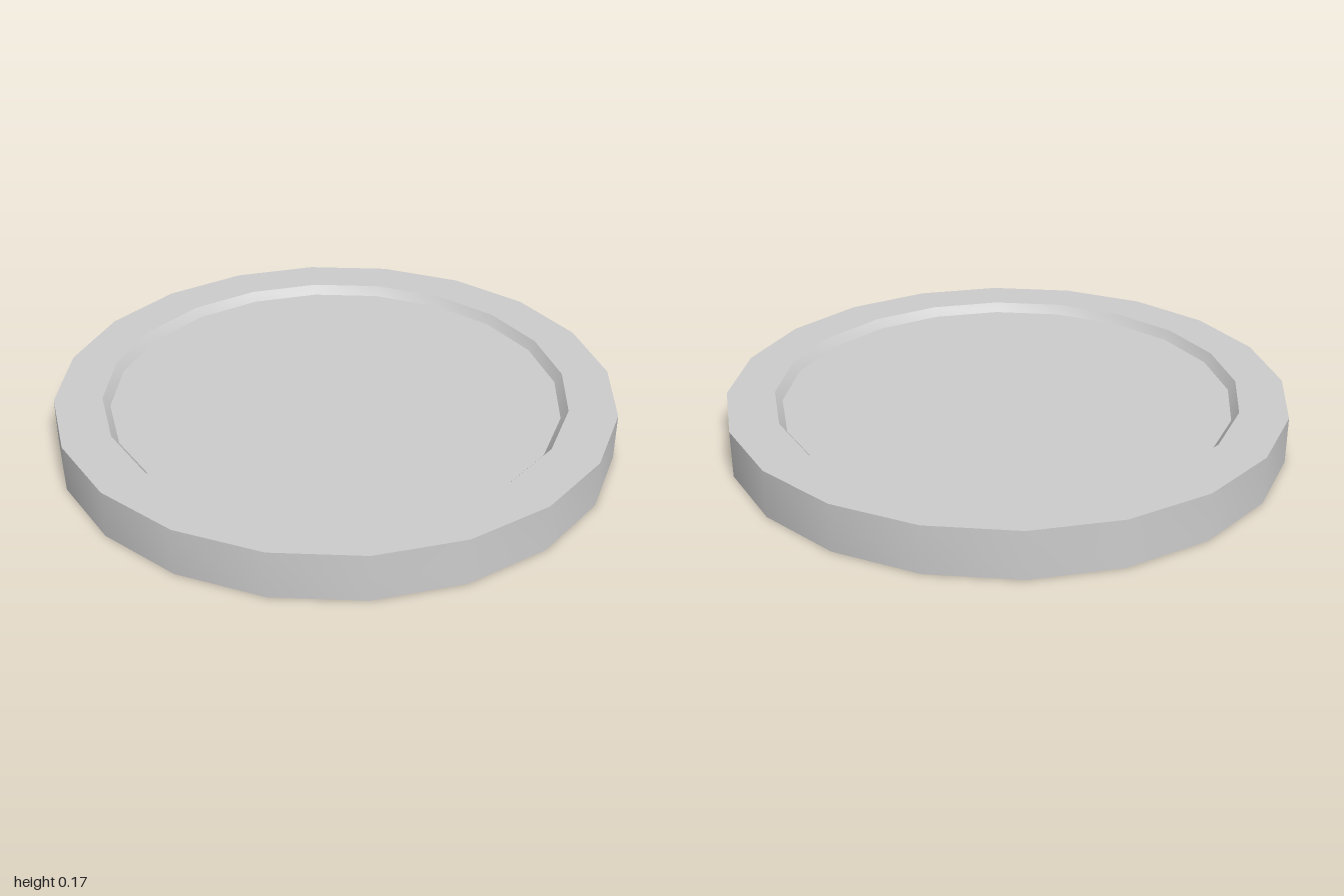
import * as THREE from 'three';
import { toCreasedNormals } from 'three/addons/utils/BufferGeometryUtils.js';

const SIDES = 20;
const HEIGHT = 0.17;
const DEPTH = 0.033; // recess depth on each face
const OUTER = 1, LIP = 0.83, FLOOR = 0.805;

export function createModel() {
  const model = new THREE.Group();
  model.name = 'disc';
  const material = new THREE.MeshStandardMaterial({ color: 0xcccccc });

  const add = (name, geometry) => {
    const mesh = new THREE.Mesh(geometry, material);
    mesh.name = name;
    model.add(mesh);
    return mesh;
  };

  // Raised rim with a bevelled inner wall on both faces
  const profile = [
    [FLOOR, DEPTH], [LIP, 0], [OUTER, 0],
    [OUTER, HEIGHT], [LIP, HEIGHT], [FLOOR, HEIGHT - DEPTH],
  ].map(([r, y]) => new THREE.Vector2(r, y));
  add('rim', toCreasedNormals(new THREE.LatheGeometry(profile, SIDES), 0.5));

  // Flat recessed faces, top and bottom
  for (const [name, y, tilt] of [
    ['topFace', HEIGHT - DEPTH, -Math.PI / 2],
    ['bottomFace', DEPTH, Math.PI / 2],
  ]) {
    const face = add(name, new THREE.CircleGeometry(FLOOR, SIDES));
    face.rotation.x = tilt;
    face.position.y = y;
  }

  return model;
}
